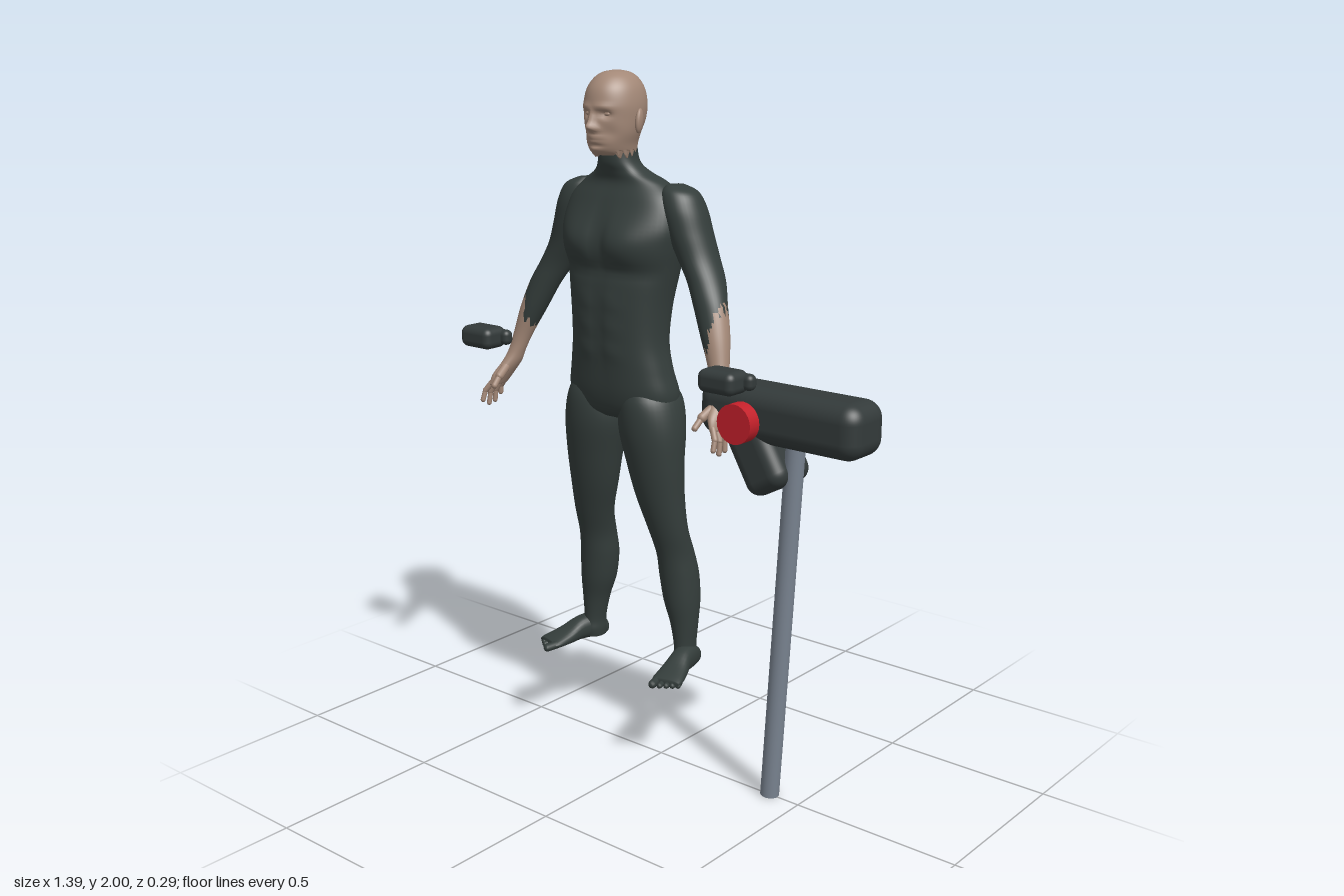
import * as THREE from 'three';
import { RoundedBoxGeometry } from 'three/addons/geometries/RoundedBoxGeometry.js';

const mat = (name, color) => Object.assign(new THREE.MeshStandardMaterial({ color }), { name });
const V = (x, y, z) => new THREE.Vector3(x, y, z);
const bump = (x, y, x0, y0, sx, sy) => Math.exp(-(((x - x0) / sx) ** 2) - ((y - y0) / sy) ** 2);

// Smooth value between rows of a section list
function sample(rows, t) {
  const i = Math.min(Math.floor(t), rows.length - 2), f = t - i;
  const at = k => rows[Math.max(0, Math.min(rows.length - 1, k))];
  return rows[0].map((_, c) => {
    const [a, b, d, e] = [at(i - 1)[c], at(i)[c], at(i + 1)[c], at(i + 2)[c]];
    return b + 0.5 * f * (d - a + f * (2 * a - 5 * b + 4 * d - e + f * (3 * (b - d) + e - a)));
  });
}

// Closed skin over level sections [x, y, halfWidth, zFront, zBack];
// deform moves vertices, pick chooses the material group of each face
function loft(rows, { n = 36, sub = 5, p = 2, deform, pick } = {}) {
  const pos = [], tris = [], count = (rows.length - 1) * sub + 1;
  const pw = v => Math.sign(v) * Math.abs(v) ** (2 / p);
  for (let r = 0; r < count; r++) {
    const [x, y, w, zf, zb] = sample(rows, r / sub);
    for (let k = 0; k < n; k++) {
      const a = (k / n) * Math.PI * 2;
      const v = V(x + w * pw(Math.cos(a)), y, (zf + zb) / 2 + ((zf - zb) / 2) * pw(Math.sin(a)));
      if (deform) deform(v, k);
      pos.push(v);
    }
  }
  const mid = ([x, y, , zf, zb]) => pos.push(V(x, y, (zf + zb) / 2)) - 1;
  const first = mid(rows[0]), last = mid(rows[rows.length - 1]);
  for (let k = 0; k < n; k++) {
    const k2 = (k + 1) % n, e = (count - 1) * n;
    tris.push([first, k2, k], [last, e + k, e + k2]);
    for (let r = 0; r < e; r += n) tris.push([r + k, r + k2, r + n + k], [r + k2, r + n + k2, r + n + k]);
  }
  // Turn all faces outward
  const vol = tris.reduce((s, [a, b, c]) => s + pos[a].dot(V(0, 0, 0).crossVectors(pos[b], pos[c])), 0);
  if (vol < 0) tris.forEach(t => t.reverse());
  const sets = [[], []];
  for (const t of tris) {
    const c = V(0, 0, 0);
    t.forEach(i => c.addScaledVector(pos[i], 1 / 3));
    sets[pick ? pick(c) : 0].push(...t);
  }
  const g = new THREE.BufferGeometry().setFromPoints(pos);
  g.setIndex([...sets[0], ...sets[1]]);
  if (pick) {
    g.addGroup(0, sets[0].length, 0);
    g.addGroup(sets[0].length, sets[1].length, 1);
  }
  g.computeVertexNormals();
  return g;
}

export function createModel() {
  const model = new THREE.Group();
  const suit = mat('charcoal suit', 0x343d3b), skin = mat('skin', 0xa38877);
  const metal = mat('grey metal', 0x7a8491), red = mat('red', 0xc4202a), pad = mat('dark casing', 0x333a3a);
  const add = (parent, name, geo, material) => {
    const m = new THREE.Mesh(geo, material);
    m.name = name;
    parent.add(m);
    return m;
  };
  // Rod between two points, with round or flat ends
  const rod = (parent, name, a, b, r, material, flat = false) => {
    const len = a.distanceTo(b);
    const m = add(parent, name, flat ? new THREE.CylinderGeometry(r, r, len, 24) : new THREE.CapsuleGeometry(r, len, 4, 10), material);
    m.position.copy(a).lerp(b, 0.5);
    m.quaternion.setFromUnitVectors(V(0, 1, 0), b.clone().sub(a).normalize());
    return m;
  };

  const figure = new THREE.Group();
  figure.name = 'figure';
  figure.position.x = -0.16;
  model.add(figure);

  // Torso with neck, chest, spine groove and buttocks
  add(figure, 'torso', loft([
    [0, 1.81, 0.05, 0.045, -0.055], [0, 1.755, 0.058, 0.045, -0.062], [0, 1.725, 0.085, 0.035, -0.082],
    [0, 1.695, 0.14, 0.03, -0.11], [0, 1.65, 0.185, 0.05, -0.13], [0, 1.58, 0.2, 0.08, -0.143],
    [0, 1.52, 0.193, 0.09, -0.145], [0, 1.45, 0.178, 0.085, -0.138], [0, 1.35, 0.16, 0.09, -0.122],
    [0, 1.25, 0.155, 0.088, -0.11], [0, 1.17, 0.168, 0.082, -0.113], [0, 1.1, 0.182, 0.075, -0.125],
    [0, 1.05, 0.165, 0.06, -0.118], [0, 1.025, 0.1, 0.03, -0.09],
  ], {
    n: 56, p: 2.3, deform: v => {
      const ax = Math.abs(v.x), { y } = v;
      if (v.z > 0.01) {
        v.z += 0.018 * bump(ax, y, 0.085, 1.535, 0.07, 0.055) - 0.012 * bump(ax, y, 0, 1.55, 0.018, 0.08);
        v.z -= 0.008 * bump(ax, y, 0.08, 1.455, 0.1, 0.02) + 0.005 * bump(ax, y, 0, 1.3, 0.014, 0.13);
        for (const h of [1.37, 1.3, 1.23]) v.z += 0.004 * bump(ax, y, 0.045, h, 0.03, 0.022);
      } else if (v.z < -0.06) {
        v.z += 0.02 * bump(ax, y, 0, 1.42, 0.03, 0.2) + 0.022 * bump(ax, y, 0, 1.07, 0.02, 0.06);
        v.z -= 0.016 * bump(ax, y, 0.08, 1.085, 0.06, 0.055) + 0.006 * bump(ax, y, 0.1, 1.57, 0.06, 0.07);
      }
    },
  }), suit);

  // Head with brow, nose, lips, chin and a jagged lower edge
  add(figure, 'head', loft([
    [0, 2, 0.008, 0.014, -0.012], [0, 1.994, 0.034, 0.044, -0.043], [0, 1.978, 0.056, 0.07, -0.068],
    [0, 1.95, 0.073, 0.091, -0.086], [0, 1.91, 0.081, 0.1, -0.093], [0, 1.87, 0.079, 0.099, -0.087],
    [0, 1.835, 0.073, 0.099, -0.07], [0, 1.805, 0.063, 0.096, -0.062], [0, 1.783, 0.057, 0.085, -0.062],
    [0, 1.773, 0.053, 0.066, -0.06],
  ], {
    n: 72, sub: 6, deform: (v, k) => {
      const ax = Math.abs(v.x), { y } = v;
      if (y < 1.785 && v.z < 0.05) v.y += k % 4 < 2 ? 0.006 : -0.008;
      if (v.z < 0.02) return;
      v.z += 0.024 * bump(ax, y, 0, 1.852, 0.011, 0.013) + 0.014 * bump(ax, y, 0, 1.873, 0.009, 0.018);
      v.z += 0.008 * bump(ax, y, 0.012, 1.847, 0.01, 0.008) + 0.006 * bump(ax, y, 0.028, 1.904, 0.025, 0.009);
      v.z -= 0.014 * bump(ax, y, 0.033, 1.886, 0.015, 0.01) + 0.006 * bump(ax, y, 0.045, 1.835, 0.02, 0.02);
      v.z += 0.008 * bump(ax, y, 0, 1.825, 0.024, 0.006) + 0.007 * bump(ax, y, 0, 1.812, 0.02, 0.006);
      v.z += 0.008 * bump(ax, y, 0, 1.79, 0.02, 0.01) - 0.004 * bump(ax, y, 0, 1.801, 0.025, 0.004);
    },
  }), skin);

  for (const s of [-1, 1]) {
    const side = s > 0 ? 'left' : 'right';
    const flip = rows => rows.map(([x, ...rest]) => [x * s, ...rest]);
    const P = (x, y, z) => V(x * s, y, z);

    // Eye and ear
    const eye = add(figure, side + 'Eye', new THREE.SphereGeometry(1, 16, 10), skin);
    eye.scale.set(0.012, 0.006, 0.006);
    eye.position.set(0.032 * s, 1.886, 0.077);
    const ear = add(figure, side + 'Ear', new THREE.SphereGeometry(1, 16, 12), skin);
    ear.scale.set(0.01, 0.034, 0.019);
    ear.position.set(0.082 * s, 1.866, 0);
    ear.rotation.set(-0.15, 0.35 * s, 0);

    // Arm in suit colour, turning to skin along a ragged slanting line
    add(figure, side + 'Arm', loft(flip([
      [0.165, 1.695, 0.02, -0.025, -0.085], [0.18, 1.675, 0.05, -0.002, -0.112], [0.195, 1.63, 0.06, 0.01, -0.128],
      [0.215, 1.565, 0.061, 0.008, -0.13], [0.243, 1.5, 0.057, 0.002, -0.125], [0.278, 1.44, 0.053, 0.004, -0.108],
      [0.31, 1.38, 0.05, 0.015, -0.075], [0.343, 1.3, 0.042, 0.029, -0.05], [0.371, 1.22, 0.03, 0.038, -0.02],
      [0.385, 1.17, 0.025, 0.05, -0.004], [0.396, 1.135, 0.024, 0.07, 0], [0.41, 1.1, 0.02, 0.1, 0.015],
      [0.421, 1.068, 0.013, 0.108, 0.036],
    ]), {
      sub: 6, pick: c => {
        const axis = 0.343 - (c.y - 1.3) * 0.4, out = THREE.MathUtils.clamp((c.x * s - axis) / 0.045, -1, 1);
        const ragged = 0.012 * Math.sin(c.z * 330) + 0.008 * Math.sin(c.x * 410);
        return c.y < 1.305 + 0.07 * out - 0.4 * Math.max(0, c.z) + ragged ? 1 : 0;
      },
    }), [suit, skin]);

    // Fingers and thumb
    for (let i = 0; i < 4; i++) {
      const z = 0.044 + i * 0.018, drop = [0.035, 0.052, 0.056, 0.044][i];
      const knuckle = P(0.421, 1.075, z), joint = P(0.438, 1.075 - drop * 0.6, z + 0.004 * i);
      rod(figure, side + 'FingerBase', knuckle, joint, 0.0085, skin);
      rod(figure, side + 'FingerTip', joint, P(0.44, 1.072 - drop * 1.15, z + 0.007 * i), 0.0075, skin);
    }
    rod(figure, side + 'ThumbBase', P(0.397, 1.13, 0.05), P(0.386, 1.1, 0.1), 0.013, skin);
    rod(figure, side + 'ThumbTip', P(0.386, 1.1, 0.1), P(0.382, 1.075, 0.126), 0.009, skin);

    // Leg
    add(figure, side + 'Leg', loft(flip([
      [0.095, 1.13, 0.06, 0.05, -0.1], [0.1, 1.08, 0.085, 0.07, -0.128], [0.104, 1, 0.098, 0.07, -0.124],
      [0.116, 0.9, 0.088, 0.053, -0.105], [0.127, 0.8, 0.076, 0.032, -0.1], [0.143, 0.7, 0.062, 0.006, -0.105],
      [0.152, 0.62, 0.055, -0.016, -0.132], [0.157, 0.55, 0.058, -0.026, -0.147], [0.165, 0.47, 0.054, -0.034, -0.146],
      [0.175, 0.4, 0.041, -0.045, -0.133], [0.18, 0.33, 0.031, -0.05, -0.125], [0.182, 0.295, 0.033, -0.045, -0.13],
      [0.182, 0.27, 0.03, -0.05, -0.128],
    ])), suit);

    // Foot, lofted from heel to ball, then laid down and turned out
    const foot = new THREE.Group();
    foot.name = side + 'Foot';
    foot.position.set(0.177 * s, 0.26, -0.135);
    foot.rotation.y = 0.27 * s;
    figure.add(foot);
    add(foot, side + 'FootBody', loft([
      [0, 0, 0.012, -0.012, -0.036], [0, 0.012, 0.028, -0.003, -0.055], [0, 0.05, 0.033, 0, -0.075],
      [0, 0.1, 0.033, -0.002, -0.072], [0, 0.15, 0.041, 0, -0.048], [0, 0.195, 0.046, 0, -0.032], [0, 0.215, 0.042, -0.004, -0.024],
    ], { n: 28, sub: 4, p: 2.3 }).rotateX(Math.PI / 2), suit);
    for (let i = 0; i < 5; i++) {
      const r = i ? 0.0085 : 0.012, x = s * [-0.03, -0.011, 0.006, 0.022, 0.036][i];
      rod(foot, side + 'Toe', V(x, r + 0.003, 0.19), V(x * 1.04, r, 0.235 - i * 0.007), r, suit);
    }

    // Wrist device beside each hand
    const device = new THREE.Group();
    device.name = side + 'Device';
    device.position.set(s > 0 ? 0.293 : -0.613, 1.212, 0);
    model.add(device);
    add(device, side + 'DeviceBar', new RoundedBoxGeometry(0.165, 0.045, 0.036, 4, 0.016), pad).position.z = 0.067;
    add(device, side + 'DeviceBody', new RoundedBoxGeometry(0.12, 0.064, 0.088, 4, 0.022), pad).position.z = 0.097;
  }

  // Padded stand: long pad, slanting pad, pole and red button
  const stand = new THREE.Group();
  stand.name = 'stand';
  model.add(stand);
  add(stand, 'longPad', new RoundedBoxGeometry(0.515, 0.152, 0.162, 6, 0.05), pad).position.set(0.437, 1.117, -0.008);
  const slant = add(stand, 'slantingPad', new RoundedBoxGeometry(0.135, 0.29, 0.165, 6, 0.04), pad);
  slant.position.set(0.345, 1.04, -0.012);
  slant.rotation.z = Math.PI / 6;
  rod(stand, 'pole', V(0.402, 0.002, 0), V(0.467, 1.08, 0), 0.027, metal, true);
  rod(stand, 'redButton', V(0.352, 1.108, 0.086), V(0.352, 1.108, 0.127), 0.055, red, true);
  return model;
}
